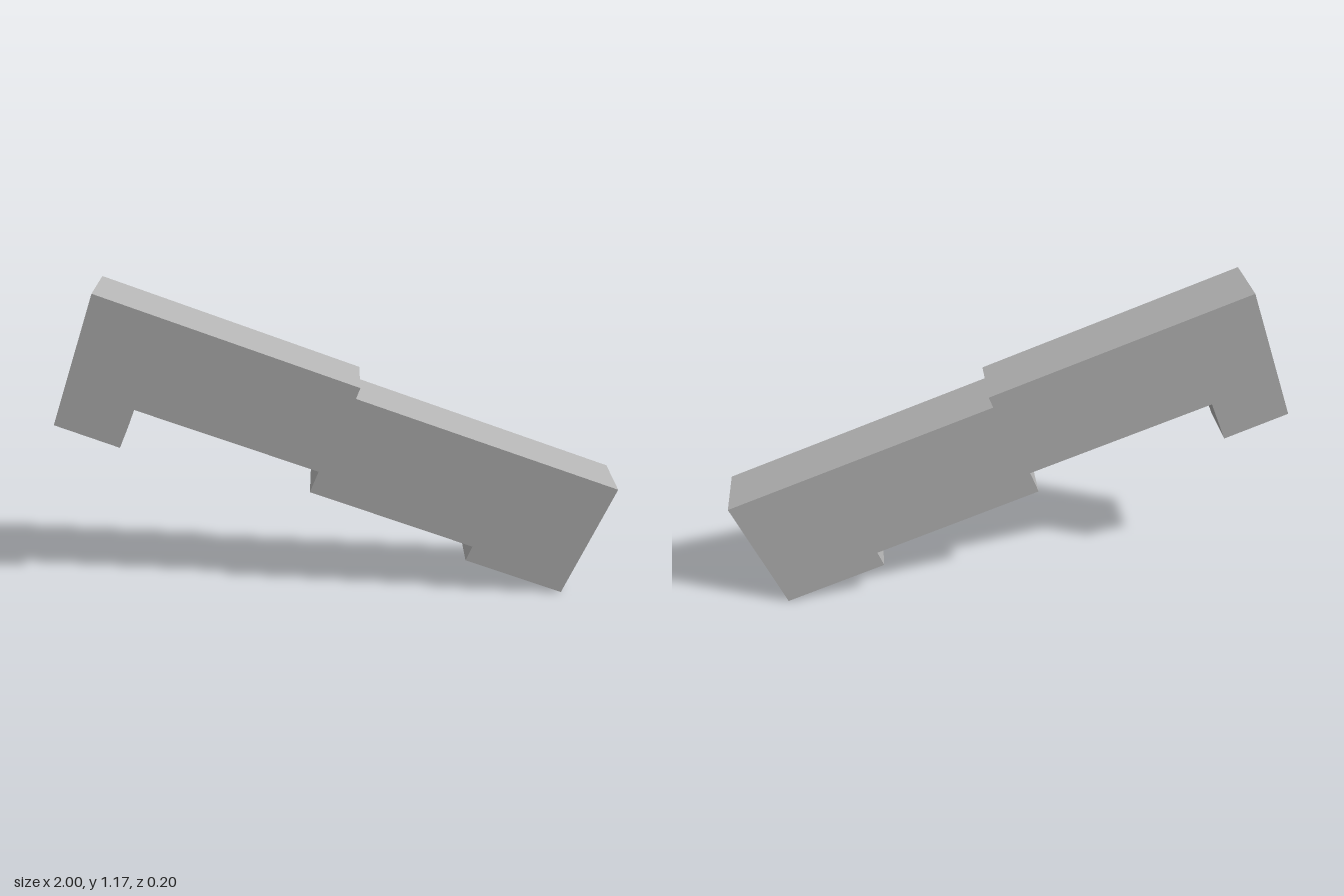
import * as THREE from 'three';

// Tilted outline of the notched block, clockwise from the upper left corner
const OUTLINE = [
  [-0.82, 1.178], [0.073, 0.84], [0.058, 0.799], [0.998, 0.446],
  [0.832, 0.003], [0.468, 0.141], [0.49, 0.201], [-0.105, 0.427],
  [-0.073, 0.511], [-0.715, 0.752], [-0.775, 0.602], [-1, 0.69],
];
const BACK = -0.102;
const SLOPE = 0.056; // the front face leans back towards the lower edge

// Front depth from the height measured across the tilted block
const frontZ = (x, y) => 0.073 + SLOPE * (0.355 * x + 0.935 * y - 0.293);

export function createModel() {
  const model = new THREE.Group();
  model.name = 'notchedBlock';

  const grey = new THREE.MeshStandardMaterial({ color: 0xb4b4b4 });
  grey.name = 'grey';

  // Extruded outline whose front cap is moved onto the leaning plane
  const shape = new THREE.Shape(OUTLINE.map(([x, y]) => new THREE.Vector2(x, y)));
  const geometry = new THREE.ExtrudeGeometry(shape, { depth: 1, bevelEnabled: false });
  const pos = geometry.attributes.position;
  for (let i = 0; i < pos.count; i++) {
    pos.setZ(i, pos.getZ(i) > 0.5 ? frontZ(pos.getX(i), pos.getY(i)) : BACK);
  }
  geometry.computeVertexNormals();

  const body = new THREE.Mesh(geometry, grey);
  body.name = 'body';
  model.add(body);
  return model;
}
